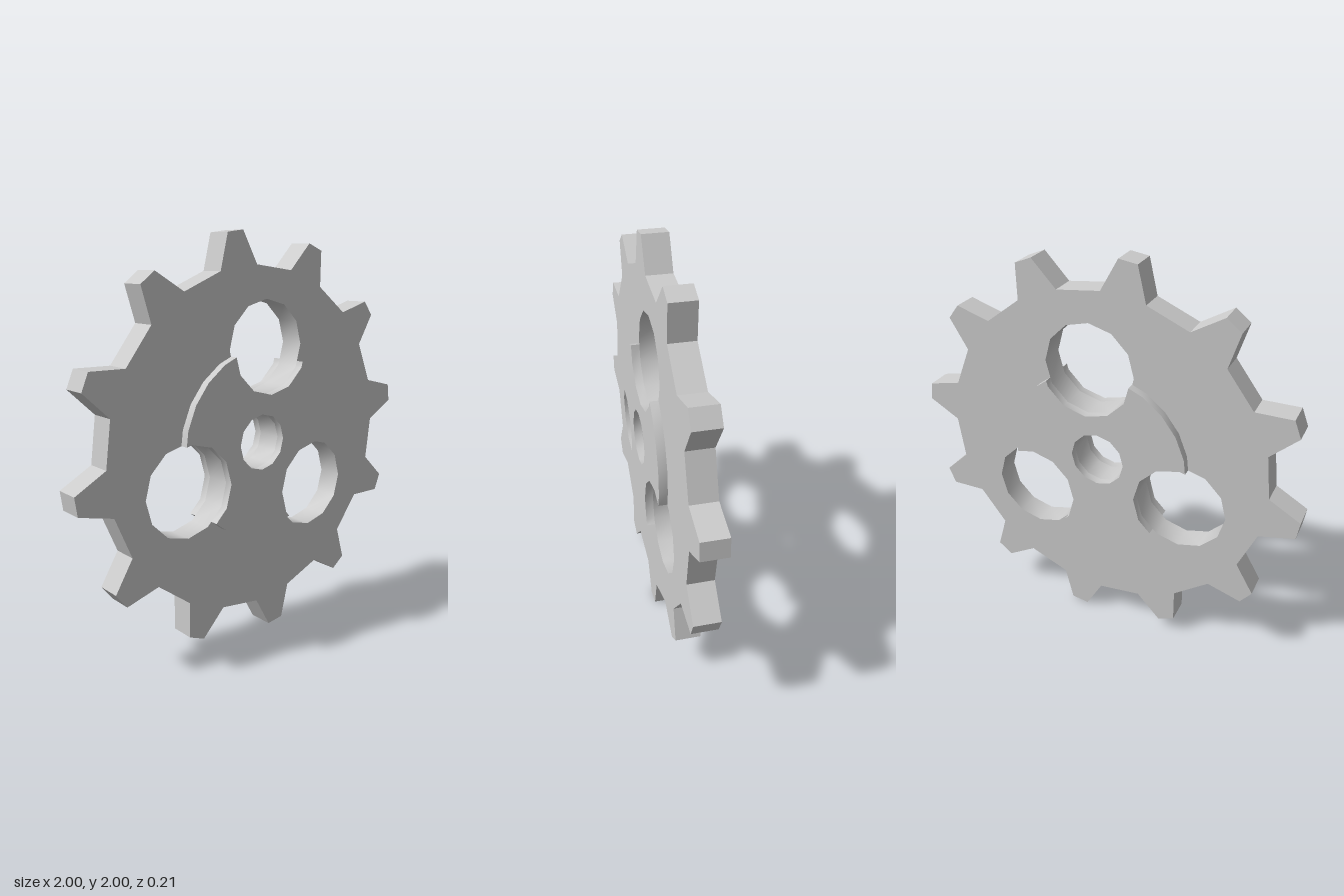
import * as THREE from 'three';
import { toCreasedNormals } from 'three/addons/utils/BufferGeometryUtils.js';

const TEETH = 12, ROOT_R = 0.845, TIP_R = 1.004;
const HUB_R = 0.46, HOLE_R = 0.229, HOLE_DIST = 0.46, BORE_R = 0.138;
const BODY_HALF = 0.063, HUB_HALF = 0.104;
const HOLE_ANGLES = [82.5, 202.5, 322.5];

// Point at a radius and angle (degrees) around a centre
function polar(r, deg, c = { x: 0, y: 0 }) {
  const a = THREE.MathUtils.degToRad(deg);
  return new THREE.Vector2(c.x + r * Math.cos(a), c.y + r * Math.sin(a));
}

// Regular polygon as a hole path
function ringPath(r, sides, c) {
  const pts = [];
  for (let i = 0; i < sides; i++) pts.push(polar(r, (-i * 360) / sides, c));
  return new THREE.Path(pts);
}

// Intersection of line ab with line cd
function cross(a, b, c, d) {
  const u = b.clone().sub(a), v = d.clone().sub(c);
  const t = c.clone().sub(a).cross(v) / u.cross(v);
  return a.clone().addScaledVector(u, t);
}

// Toothed outline with three large holes and the bore
function gearShape() {
  const pts = [];
  for (let i = 0; i < TEETH; i++) {
    const mid = 7.5 + (i * 360) / TEETH;
    pts.push(polar(ROOT_R, mid - 7.5), polar(TIP_R, mid - 2.6),
      polar(TIP_R, mid + 2.6), polar(ROOT_R, mid + 7.5));
  }
  const shape = new THREE.Shape(pts);
  for (const a of HOLE_ANGLES) shape.holes.push(ringPath(HOLE_R, 12, polar(HOLE_DIST, a)));
  shape.holes.push(ringPath(BORE_R, 12));
  return shape;
}

// 24-sided disc bitten into by the three large holes
function hubShape() {
  const pts = [];
  for (const a of HOLE_ANGLES) {
    const c = polar(HOLE_DIST, a);
    const hole = (deg) => polar(HOLE_R, deg + a - 82.5, c);
    const rim = (deg) => polar(HUB_R, deg + a - 82.5);
    pts.push(cross(hole(360), hole(330), rim(45), rim(60)));
    for (let deg = 330; deg >= 210; deg -= 30) pts.push(hole(deg));
    pts.push(cross(hole(210), hole(180), rim(105), rim(120)));
    for (let deg = 120; deg <= 165; deg += 15) pts.push(rim(deg));
  }
  const shape = new THREE.Shape(pts);
  shape.holes.push(ringPath(BORE_R, 12));
  return shape;
}

export function createModel() {
  const group = new THREE.Group();
  group.name = 'gear';
  const material = new THREE.MeshStandardMaterial({ color: 0xcccccc });

  // Extrudes a shape between two depths, smooth on round walls and sharp elsewhere
  function addSlab(name, shape, z0, z1) {
    const geo = new THREE.ExtrudeGeometry(shape, { depth: z1 - z0, bevelEnabled: false });
    const mesh = new THREE.Mesh(toCreasedNormals(geo, 0.6), material);
    mesh.name = name;
    mesh.position.set(0, 1, z0);
    group.add(mesh);
  }

  addSlab('toothedWheel', gearShape(), -BODY_HALF, BODY_HALF);
  addSlab('frontHub', hubShape(), BODY_HALF, HUB_HALF);
  addSlab('backHub', hubShape(), -HUB_HALF, -BODY_HALF);
  return group;
}
